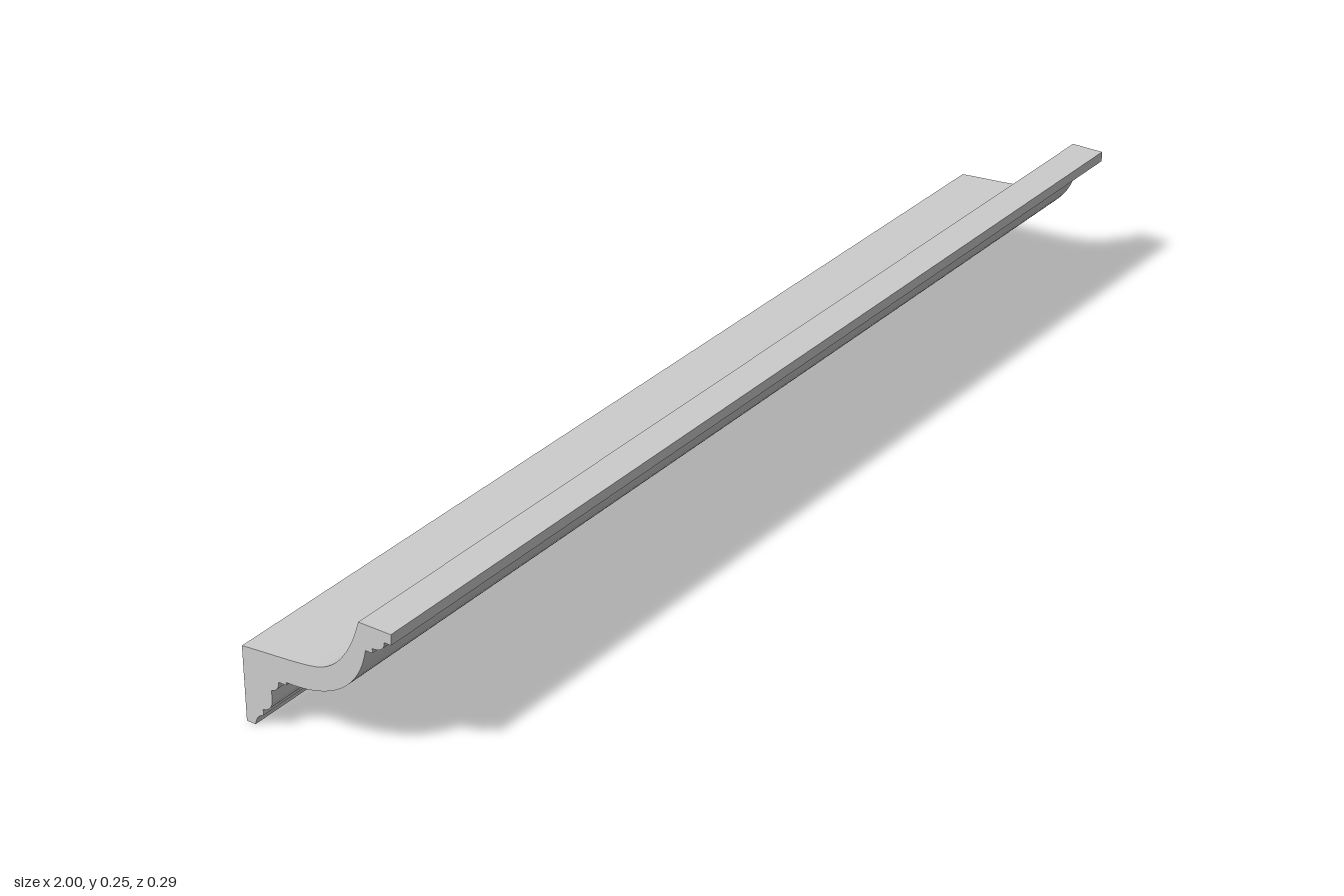
import * as THREE from 'three';
import { toCreasedNormals } from 'three/addons/utils/BufferGeometryUtils.js';

const LENGTH = 2;

// Cross-section of the moulding, drawn with (-z, y) as the shape's (x, y)
function corniceProfile() {
  const s = new THREE.Shape();
  const line = (z, y) => s.lineTo(-z, y);
  const curve = (z1, y1, z2, y2, z, y) => s.bezierCurveTo(-z1, y1, -z2, y2, -z, y);

  // back face and foot
  s.moveTo(0.143, 0.131);
  line(-0.143, 0);
  line(-0.126, 0);
  // small cove and fillet
  curve(-0.124, 0.011, -0.119, 0.018, -0.109, 0.022);
  line(-0.109, 0.032);
  // lower rounded bead
  curve(-0.098, 0.034, -0.09, 0.041, -0.09, 0.056);
  line(-0.09, 0.072);
  // upper rounded bead and fillet
  curve(-0.081, 0.074, -0.075, 0.081, -0.075, 0.092);
  line(-0.06, 0.092);
  line(-0.06, 0.097);
  // large sweep on the front
  curve(0.03, 0.097, 0.083, 0.138, 0.096, 0.208);
  // crown: step, bead and top lip
  line(0.109, 0.208);
  line(0.109, 0.216);
  curve(0.123, 0.216, 0.132, 0.222, 0.132, 0.234);
  line(0.145, 0.234);
  line(0.145, 0.252);
  line(0.085, 0.252);
  // large sweep on the back
  curve(0.068, 0.195, 0.04, 0.155, 0, 0.146);
  curve(-0.03, 0.139, -0.08, 0.137, -0.143, 0.131);
  return s;
}

export function createModel() {
  const group = new THREE.Group();
  group.name = 'corniceMoulding';

  const extruded = new THREE.ExtrudeGeometry(corniceProfile(), {
    depth: LENGTH, bevelEnabled: false, curveSegments: 16,
  });
  extruded.translate(0, 0, -LENGTH / 2);
  extruded.rotateY(Math.PI / 2);

  const moulding = new THREE.Mesh(
    toCreasedNormals(extruded, Math.PI / 7),
    new THREE.MeshStandardMaterial({ color: 0xcccccc }),
  );
  moulding.name = 'moulding';
  group.add(moulding);
  return group;
}
